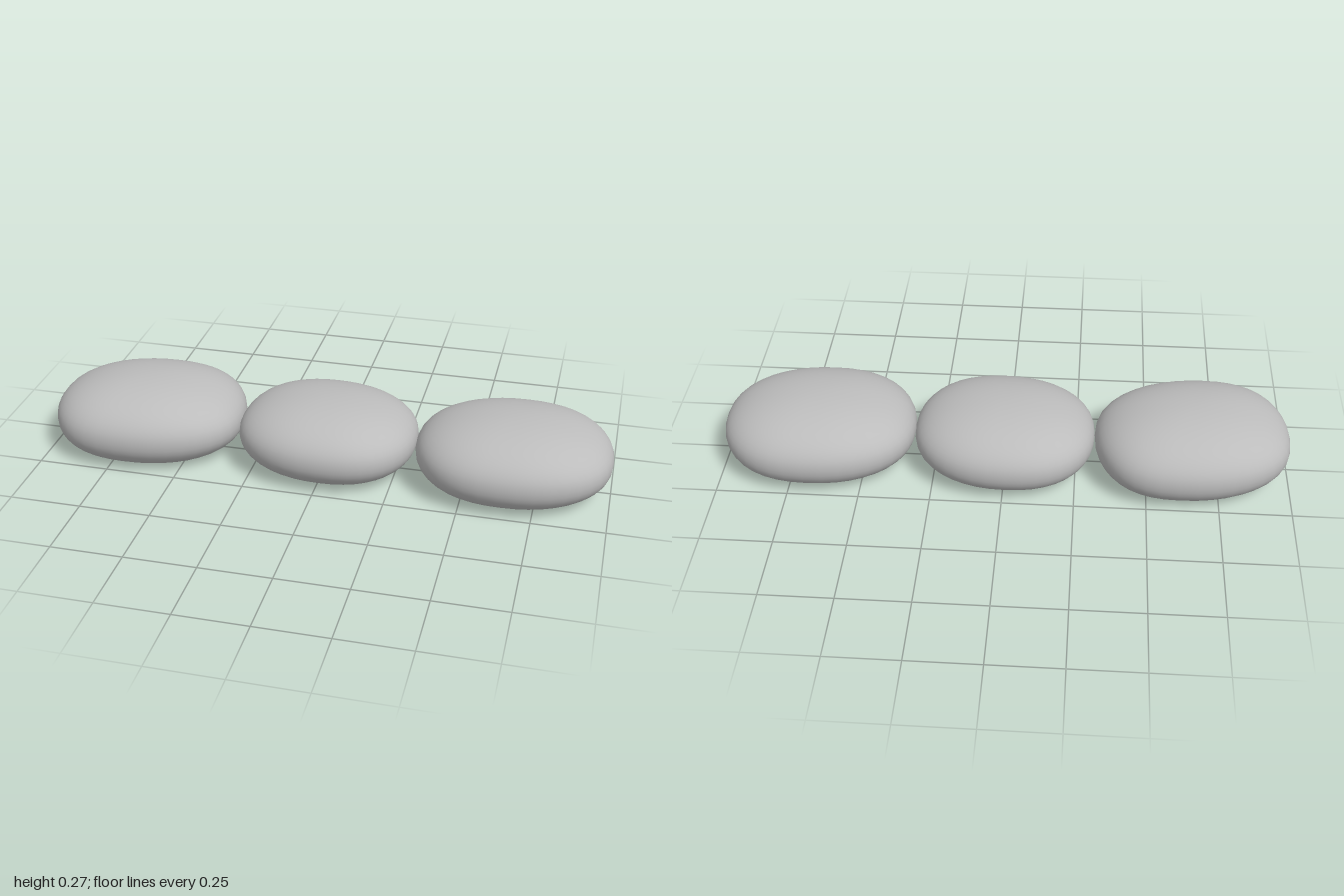
import * as THREE from 'three';
import { mergeVertices } from 'three/addons/utils/BufferGeometryUtils.js';

const spow = (v, p) => Math.sign(v) * Math.pow(Math.abs(v), p);

// Rounded stone: a slightly squared ellipsoid, skewed in plan and worn flat underneath
function pebbleGeometry(halfX, halfZ, height, skew) {
  const geo = new THREE.SphereGeometry(1, 40, 28);
  geo.deleteAttribute('uv');
  geo.deleteAttribute('normal');
  const pos = geo.attributes.position;
  const midY = 0.12, plan = 2 / 2.25, side = 2 / 2.15;
  for (let i = 0; i < pos.count; i++) {
    const x = pos.getX(i), y = pos.getY(i), z = pos.getZ(i);
    const ring = Math.hypot(x, z);
    const r = Math.pow(ring, side);
    const ux = ring > 1e-6 ? r * spow(x / ring, plan) : 0;
    const uz = ring > 1e-6 ? r * spow(z / ring, plan) : 0;
    // skew fades to nothing at the two ends so the length is kept
    const px = halfX * ux - skew * uz * (1 - ux * ux);
    const py = midY + (height - midY) * spow(y, side);
    pos.setXYZ(i, px, Math.max(0, py), halfZ * uz);
  }
  const merged = mergeVertices(geo, 1e-5);
  merged.computeVertexNormals();
  return merged;
}

export function createModel() {
  const group = new THREE.Group();
  const stone = new THREE.MeshStandardMaterial({ color: 0xbcbcbc });
  stone.name = 'stone grey';

  // Row of three touching pebbles
  const pebbles = [
    { name: 'rightPebble', from: -1, to: -0.315, halfZ: 0.278, height: 0.27, skew: 0.05 },
    { name: 'middlePebble', from: -0.315, to: 0.32, halfZ: 0.268, height: 0.26, skew: -0.015 },
    { name: 'leftPebble', from: 0.32, to: 1, halfZ: 0.275, height: 0.265, skew: 0.025 },
  ];
  for (const p of pebbles) {
    const mesh = new THREE.Mesh(pebbleGeometry((p.to - p.from) / 2, p.halfZ, p.height, p.skew), stone);
    mesh.name = p.name;
    mesh.position.x = (p.from + p.to) / 2;
    group.add(mesh);
  }
  return group;
}
